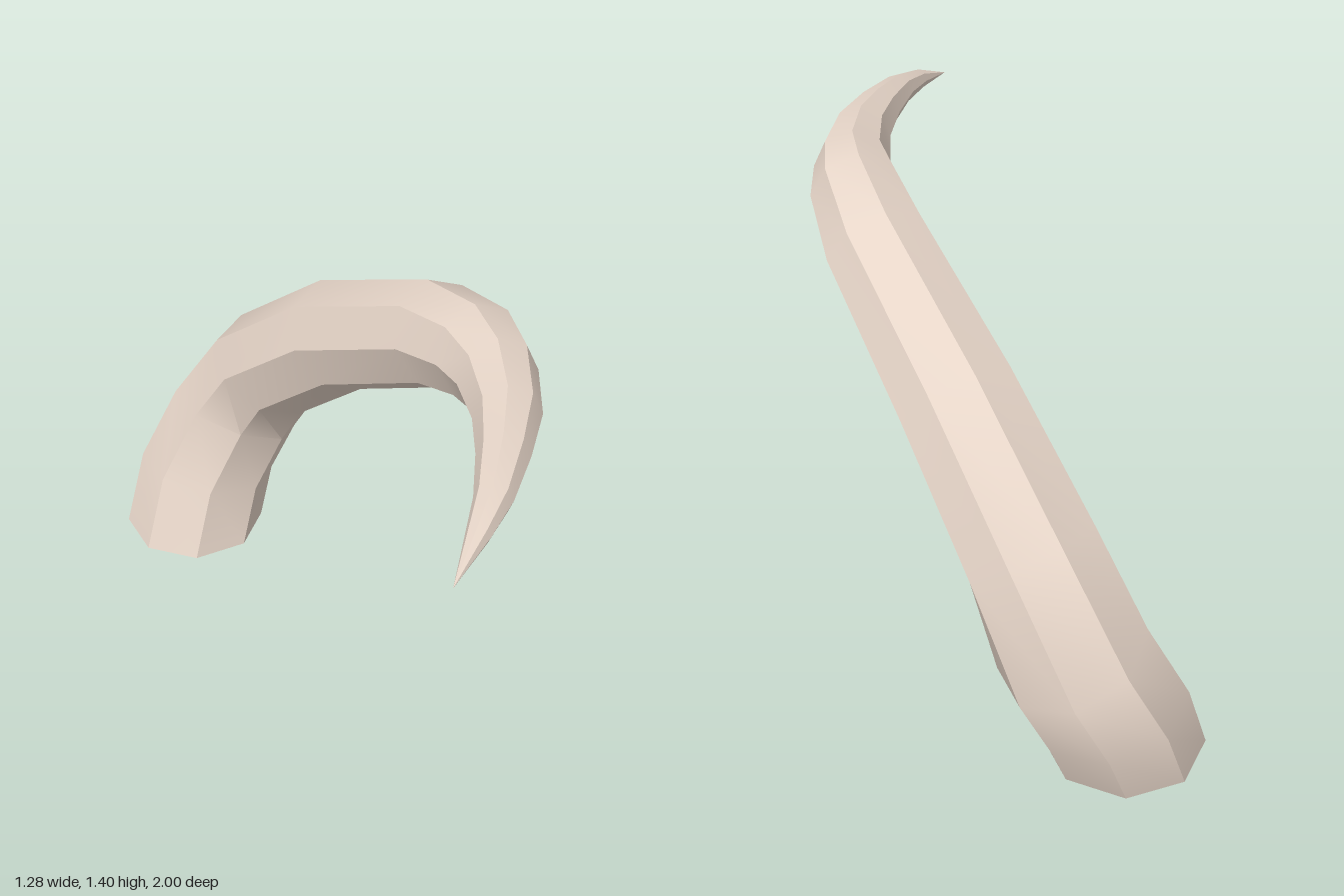
import * as THREE from 'three';
import { toCreasedNormals } from 'three/addons/utils/BufferGeometryUtils.js';

const SIDES = 8;

// Rings along the horn: centre x, y, z, radius
const RINGS = [
  [0.27, 0, -0.765, 0.235],
  [0.35, 0.2, -0.77, 0.228],
  [0.437, 0.405, -0.71, 0.218],
  [0.44, 0.66, -0.545, 0.198],
  [0.38, 0.95, -0.195, 0.18],
  [0.267, 1.2, 0.265, 0.159],
  [0.172, 1.272, 0.473, 0.138],
  [0.09, 1.285, 0.59, 0.115],
  [-0.055, 1.297, 0.725, 0.092],
  [-0.205, 1.302, 0.82, 0.07],
  [-0.36, 1.297, 0.903, 0.05],
  [-0.48, 1.283, 0.947, 0.032],
  [-0.64, 1.245, 0.995, 0],
];

// Octagonal rings carried along the path without twisting
function hornGeometry() {
  const centers = RINGS.map(([x, y, z]) => new THREE.Vector3(x, y, z));
  const u = new THREE.Vector3(1, 0, 0);
  const positions = [];
  const index = [];

  centers.forEach((c, i) => {
    // the foot is flat on the ground and the first rings lean over gradually
    const t = new THREE.Vector3(0, 1, 0);
    if (i === 1) t.set(0.2, 1, 0.05);
    else if (i === 2) t.subVectors(c, centers[0]);
    else if (i > 2) t.subVectors(c, centers[i - 1]);
    t.normalize();
    u.addScaledVector(t, -u.dot(t)).normalize();
    const v = new THREE.Vector3().crossVectors(t, u);
    for (let k = 0; k < SIDES; k++) {
      const a = (k / SIDES) * Math.PI * 2;
      const p = c.clone()
        .addScaledVector(u, Math.cos(a) * RINGS[i][3])
        .addScaledVector(v, Math.sin(a) * RINGS[i][3]);
      positions.push(p.x, p.y, p.z);
    }
  });

  const last = RINGS.length - 2;
  for (let i = 0; i <= last; i++) {
    for (let k = 0; k < SIDES; k++) {
      const a = i * SIDES + k;
      const b = i * SIDES + ((k + 1) % SIDES);
      index.push(a, b, a + SIDES);
      if (i < last) index.push(b, b + SIDES, a + SIDES);
    }
  }
  // flat cap under the foot
  for (let k = 1; k < SIDES - 1; k++) index.push(0, k + 1, k);

  const geometry = new THREE.BufferGeometry();
  geometry.setAttribute('position', new THREE.Float32BufferAttribute(positions, 3));
  geometry.setIndex(index);
  // smooth along the length, sharp between the eight sides
  return toCreasedNormals(geometry, Math.PI / 6);
}

export function createModel() {
  const group = new THREE.Group();
  group.name = 'curvedHorn';
  const horn = new THREE.Mesh(hornGeometry(), new THREE.MeshStandardMaterial({ color: 0xe6d5c8 }));
  horn.name = 'horn';
  group.add(horn);
  return group;
}
